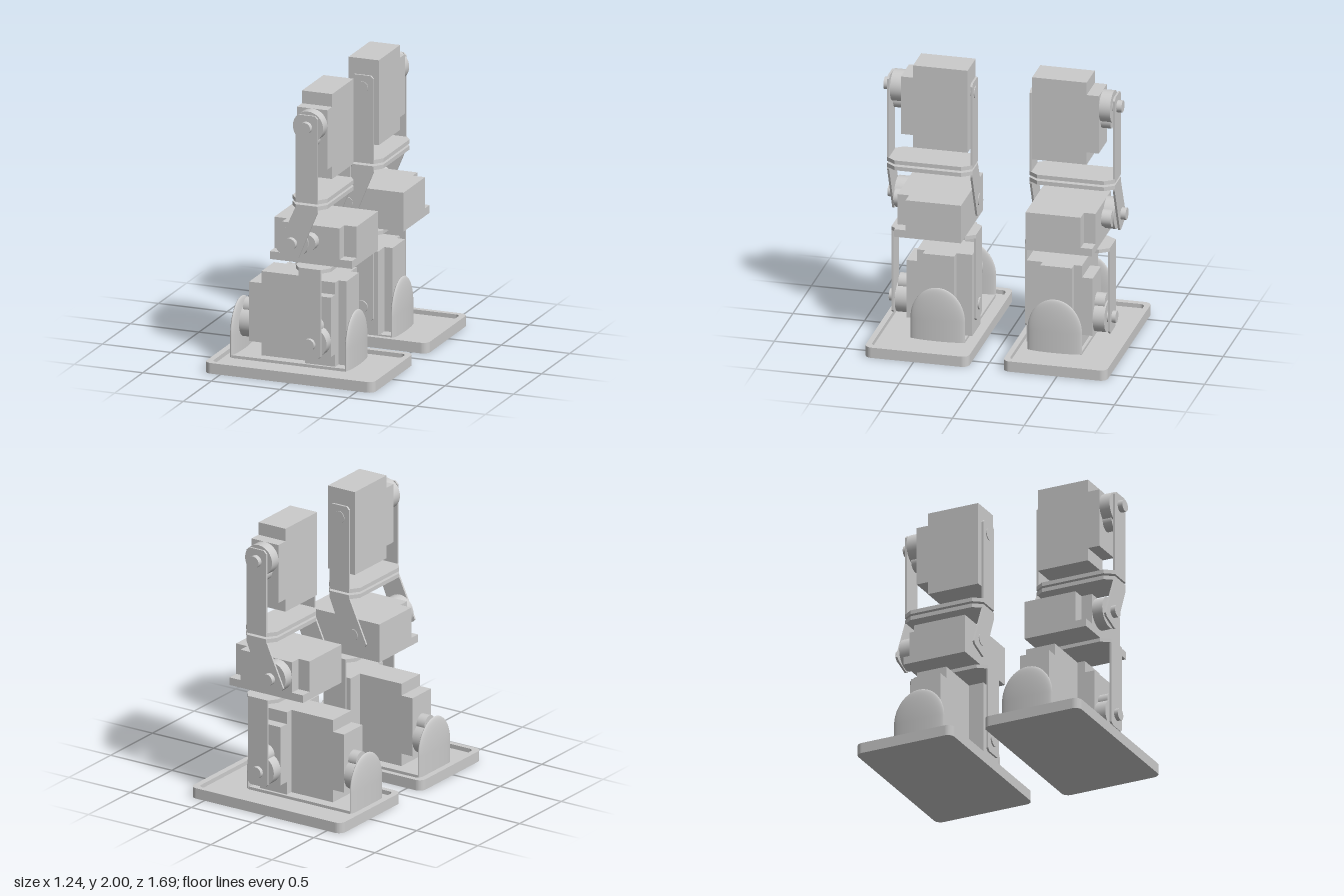
import * as THREE from 'three';

const mat = new THREE.MeshStandardMaterial({ color: 0xcccccc });

export function createModel() {
  const model = new THREE.Group();
  model.name = 'walkingLegs';
  model.add(makeLeg(1, 'frontLeg'), makeLeg(-1, 'backLeg'));
  return model;
}

// One leg; s = +1 or -1 chooses the side of z = 0 it stands on
function makeLeg(s, name) {
  const leg = new THREE.Group();
  leg.name = name;

  const add = (part, geo, x, y, z) => {
    const m = new THREE.Mesh(geo, mat);
    m.name = part;
    m.position.set(x, y, s * z);
    leg.add(m);
    return m;
  };
  // Box given by its limits on each axis
  const box = (part, x0, x1, y0, y1, z0, z1) =>
    add(part, new THREE.BoxGeometry(x1 - x0, y1 - y0, z1 - z0),
      (x0 + x1) / 2, (y0 + y1) / 2, (z0 + z1) / 2);
  // Cylinder lying along z
  const discZ = (part, r, x, y, z0, z1) =>
    add(part, new THREE.CylinderGeometry(r, r, z1 - z0, 32).rotateX(Math.PI / 2), x, y, (z0 + z1) / 2);
  // Cylinder lying along x
  const discX = (part, r, x0, x1, y, z) =>
    add(part, new THREE.CylinderGeometry(r, r, x1 - x0, 32).rotateZ(Math.PI / 2), (x0 + x1) / 2, y, z);
  // Upright sheet in the xy plane, centred on z
  const sheet = (part, pts, z, t = 0.014) => {
    const shape = new THREE.Shape(pts.map(p => new THREE.Vector2(...p)));
    const geo = new THREE.ExtrudeGeometry(shape, { depth: t, bevelEnabled: false });
    add(part, geo.translate(0, 0, -t / 2), 0, 0, z);
  };
  // Flat shape extruded upwards
  const slab = (part, shape, x, y, z, h) =>
    add(part, new THREE.ExtrudeGeometry(shape, { depth: h, bevelEnabled: false, curveSegments: 8 })
      .rotateX(-Math.PI / 2), x, y, z);
  // Bracket floor with corners cut back to the width of the arms
  const bracketPlate = (part, x, y, z0, z1, h) => {
    const L = (z1 - z0) / 2, w = 0.127, n = 0.08, c = L - 0.065;
    const pts = [[-w, -c], [-n, -L], [n, -L], [w, -c], [w, c], [n, L], [-n, L], [-w, c]];
    slab(part, new THREE.Shape(pts.map(p => new THREE.Vector2(...p))), x, y, (z0 + z1) / 2, h);
  };

  // Foot tray
  slab('footBase', roundedRect(1.235, 0.725, 0.05), 0, 0, 0.482, 0.045);
  const rim = roundedRect(1.235, 0.725, 0.05);
  rim.holes.push(roundedRect(1.15, 0.65, 0.035));
  slab('footRim', rim, 0, 0.045, 0.482, 0.03);
  box('ankleBase', -0.52, 0.315, 0.04, 0.065, 0.22, 0.595);

  // Rounded ankle supports at both ends of the roll axis
  for (const x of [-0.523, 0.315]) {
    const dome = new THREE.SphereGeometry(1, 40, 14, 0, Math.PI * 2, 0, Math.PI / 2);
    add('ankleSupportTop', dome.scale(0.027, 0.23, 0.19), x, 0.2, 0.408);
    const post = new THREE.CylinderGeometry(1, 1, 0.15, 40);
    add('ankleSupport', post.scale(0.027, 1, 0.19), x, 0.125, 0.408);
  }

  // Ankle roll servo, its shaft along x
  box('rollServoBody', -0.33, 0.05, 0.065, 0.66, 0.3, 0.52);
  box('rollServoNose', -0.42, -0.33, 0.155, 0.575, 0.3, 0.52);
  discX('rollServoHorn', 0.11, -0.495, -0.42, 0.265, 0.41);
  discX('rollServoGear', 0.06, -0.485, -0.42, 0.37, 0.41);
  discX('rollServoShaft', 0.04, -0.54, -0.49, 0.265, 0.41);

  // Ankle pitch servo, its shaft along z
  box('pitchServoBody', 0.01, 0.23, 0.065, 0.66, 0.19, 0.575);
  box('pitchServoNose', 0.01, 0.23, 0.155, 0.575, 0.575, 0.65);
  box('pitchServoMount', 0.23, 0.29, 0.065, 0.66, 0.3, 0.52);
  discZ('pitchServoHorn', 0.11, 0.12, 0.265, 0.65, 0.73);
  discZ('pitchServoGear', 0.06, 0.12, 0.37, 0.65, 0.72);

  // Shin bracket
  for (const z of [0.177, 0.755]) {
    sheet('shinArm', [[0.06, 0.165], [0.18, 0.165], [0.2, 0.185], [0.2, 0.775], [0.04, 0.775], [0.04, 0.185]], z);
  }
  bracketPlate('shinPlate', 0.12, 0.772, 0.17, 0.762, 0.026);
  discZ('ankleScrew', 0.042, 0.12, 0.265, 0.73, 0.79);
  discZ('ankleInnerScrew', 0.042, 0.12, 0.265, 0.16, 0.19);

  // Knee servo lying down on its mount
  box('kneeMount', -0.2, 0.4, 0.81, 0.865, 0.225, 0.69);
  box('kneeServoBody', -0.2, 0.4, 0.865, 1.085, 0.225, 0.61);
  box('kneeServoNose', -0.11, 0.31, 0.865, 1.085, 0.61, 0.69);
  discZ('kneeServoHorn', 0.11, 0, 0.975, 0.69, 0.767);
  discZ('kneeServoGear', 0.06, 0.1, 0.975, 0.69, 0.757);

  // Slanted knee bracket and upright thigh bracket, back to back
  for (const z of [0.207, 0.787]) {
    sheet('kneeArm', [[-0.11, 0.925], [-0.095, 0.905], [0.025, 0.863], [0.05, 0.872], [0.19, 1.21],
      [0.19, 1.235], [0.03, 1.235]], z);
    sheet('thighArm', [[0.03, 1.28], [0.19, 1.28], [0.19, 1.87], [0.17, 1.89], [0.05, 1.89], [0.03, 1.87]], z);
  }
  bracketPlate('kneePlate', 0.11, 1.226, 0.2, 0.794, 0.028);
  bracketPlate('thighPlate', 0.11, 1.27, 0.2, 0.794, 0.028);
  discZ('kneeScrew', 0.042, 0, 0.975, 0.765, 0.83);
  discZ('kneeInnerScrew', 0.042, 0, 0.975, 0.195, 0.226);

  // Hip servo standing upright
  box('hipServoBody', 0, 0.22, 1.4, 2, 0.225, 0.605);
  box('hipServoNose', 0, 0.22, 1.49, 1.91, 0.605, 0.69);
  discZ('hipServoHorn', 0.11, 0.11, 1.8, 0.69, 0.767);
  discZ('hipServoGear', 0.06, 0.11, 1.7, 0.69, 0.757);
  discZ('hipScrew', 0.042, 0.11, 1.805, 0.765, 0.83);
  discZ('hipInnerScrew', 0.042, 0.11, 1.805, 0.195, 0.226);
  return leg;
}

// Rectangle with rounded corners, centred on the origin
function roundedRect(w, h, r) {
  const x = w / 2 - r, y = h / 2 - r, q = Math.PI / 2;
  const shape = new THREE.Shape();
  shape.absarc(x, y, r, 0, q);
  shape.absarc(-x, y, r, q, 2 * q);
  shape.absarc(-x, -y, r, 2 * q, 3 * q);
  shape.absarc(x, -y, r, 3 * q, 4 * q);
  shape.closePath();
  return shape;
}
